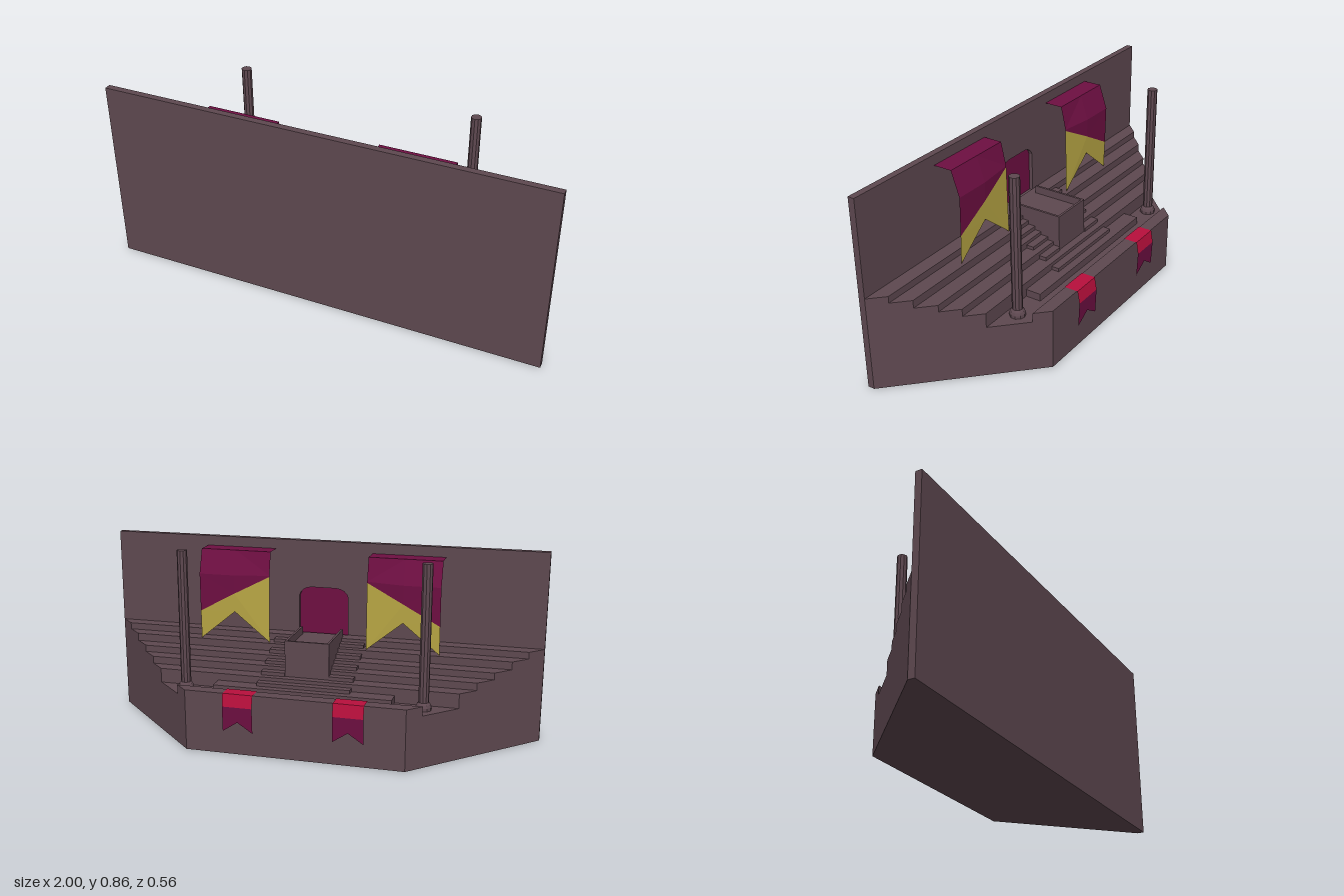
import * as THREE from 'three';

const mat = (name, color, side = THREE.FrontSide) => {
  const m = new THREE.MeshStandardMaterial({ color, side });
  m.name = name;
  return m;
};

export function createModel() {
  const model = new THREE.Group();
  model.name = 'royalStand';
  const stone = mat('stone', 0x5e4850);
  const purple = mat('purple cloth', 0x6e0f42, THREE.DoubleSide);
  const gold = mat('gold cloth', 0xb8a644, THREE.DoubleSide);
  const red = mat('red cloth', 0xb80f3c, THREE.DoubleSide);

  const add = (name, geo, material) => {
    const mesh = new THREE.Mesh(geo, material);
    mesh.name = name;
    model.add(mesh);
    return mesh;
  };
  const box = (name, x0, x1, y0, y1, z0, z1, material = stone) =>
    add(name, new THREE.BoxGeometry(x1 - x0, y1 - y0, z1 - z0)
      .translate((x0 + x1) / 2, (y0 + y1) / 2, (z0 + z1) / 2), material);

  // Tapered tier: a trapezoid slab whose ends follow the 45 degree sides
  const tier = (name, z0, z1, height) => {
    const a = 0.75 + z0, b = 0.75 + z1;
    const s = new THREE.Shape([[-a, -z0], [-b, -z1], [b, -z1], [a, -z0]]
      .map(p => new THREE.Vector2(...p)));
    const g = new THREE.ExtrudeGeometry(s, { depth: height, bevelEnabled: false });
    add(name, g.rotateX(-Math.PI / 2), stone);
  };
  const edges = [0.25, 0.187, 0.122, 0.055, -0.01, -0.075];
  const heights = [0.425, 0.395, 0.36, 0.33, 0.297];
  heights.forEach((h, i) => tier('seatingTier', edges[i + 1], edges[i], h));
  tier('walkway', -0.207, -0.075, 0.232);
  tier('parapet', -0.265, -0.207, 0.273);

  // Landing and half-height aisle steps on each side of the box
  box('landing', -0.4, 0.4, 0.23, 0.265, -0.145, -0.075);
  box('aisleStep', -0.21, 0.21, 0.26, 0.281, -0.11, -0.075);
  for (let i = 0; i < 4; i++) {
    const z = edges[i + 1], y = (heights[i] + heights[i + 1]) / 2;
    for (const s of [-1, 1])
      box('aisleStep', Math.min(s * 0.1, s * 0.21), Math.max(s * 0.1, s * 0.21),
        heights[i + 1] - 0.01, y, z - 0.035, z);
  }

  // Viewing box with a low rail
  box('viewingBox', -0.1, 0.1, 0.29, 0.425, -0.04, 0.215);
  box('boxRail', -0.1, -0.09, 0.425, 0.46, -0.04, 0.215);
  box('boxRail', 0.09, 0.1, 0.425, 0.46, -0.04, 0.215);
  box('boxRail', -0.09, 0.09, 0.425, 0.46, -0.04, -0.03);

  // Wall with a recessed, curtained doorway
  const wall = new THREE.Shape([[-1, 0], [1, 0], [1, 0.855], [-1, 0.855]]
    .map(p => new THREE.Vector2(...p)));
  const door = new THREE.Path();
  door.moveTo(-0.115, 0.42);
  door.lineTo(-0.115, 0.6);
  door.quadraticCurveTo(-0.105, 0.635, -0.06, 0.64);
  door.lineTo(0.06, 0.64);
  door.quadraticCurveTo(0.105, 0.635, 0.115, 0.6);
  door.lineTo(0.115, 0.42);
  door.closePath();
  wall.holes.push(door);
  add('wall', new THREE.ExtrudeGeometry(wall, { depth: 0.022, bevelEnabled: false, curveSegments: 4 })
    .translate(0, 0, 0.25), stone);
  box('wallFace', -1, 1, 0, 0.855, 0.272, 0.28);
  box('doorCurtain', -0.12, 0.12, 0.42, 0.645, 0.267, 0.272, purple);

  // Poles with rounded feet
  const profile = [[0.034, 0.232], [0.034, 0.246], [0.03, 0.257], [0.0225, 0.266],
    [0.0225, 0.857], [0, 0.857]].map(p => new THREE.Vector2(...p));
  for (const s of [-1, 1]) {
    const g = new THREE.LatheGeometry(profile, 10).toNonIndexed();
    g.computeVertexNormals();
    add('pole', g.translate(s * 0.533, 0, -0.126), stone);
  }

  // Cloth panel: quads of [x, y, z] corners, facing away from the wall
  const cloth = (name, side, quads, material) => {
    const pos = [];
    for (const [a, b, c, d] of quads) {
      const tris = side > 0 ? [a, b, c, a, c, d] : [a, c, b, a, d, c];
      for (const p of tris) pos.push(side * p[0], p[1], p[2]);
    }
    const g = new THREE.BufferGeometry();
    g.setAttribute('position', new THREE.Float32BufferAttribute(pos, 3));
    g.computeVertexNormals();
    add(name, g, material);
  };
  for (const s of [-1, 1]) {
    const o = 0.555, m = 0.39, i = 0.225;
    // Large hanging banner: draped top, slanted gold swallowtail
    cloth('bannerCloth', s, [
      [[o, 0.81, 0.25], [i, 0.81, 0.25], [i, 0.81, 0.165], [o, 0.81, 0.165]],
      [[o, 0.81, 0.165], [m, 0.81, 0.165], [m, 0.7, 0.128], [o, 0.7, 0.128]],
      [[m, 0.81, 0.165], [i, 0.81, 0.165], [i, 0.705, 0.142], [m, 0.7, 0.128]],
      [[o, 0.7, 0.128], [m, 0.7, 0.128], [m, 0.615, 0.131], [o, 0.525, 0.132]],
      [[m, 0.7, 0.128], [i, 0.705, 0.142], [i, 0.7, 0.142], [m, 0.615, 0.131]],
    ], purple);
    cloth('bannerTail', s, [
      [[o, 0.525, 0.132], [m, 0.615, 0.131], [m, 0.53, 0.133], [o, 0.395, 0.136]],
      [[m, 0.615, 0.131], [i, 0.7, 0.142], [i, 0.395, 0.137], [m, 0.53, 0.133]],
    ], gold);

    // Small pennant folded over the parapet
    const p = 0.31, q = 0.243, r = 0.176;
    cloth('pennantTop', s, [
      [[p, 0.275, -0.206], [r, 0.275, -0.206], [r, 0.275, -0.27], [p, 0.275, -0.27]],
      [[p, 0.275, -0.27], [r, 0.275, -0.27], [r, 0.218, -0.28], [p, 0.218, -0.28]],
    ], red);
    cloth('pennantTail', s, [
      [[p, 0.218, -0.28], [q, 0.218, -0.28], [q, 0.15, -0.277], [p, 0.105, -0.275]],
      [[q, 0.218, -0.28], [r, 0.218, -0.28], [r, 0.105, -0.275], [q, 0.15, -0.277]],
    ], purple);
  }
  return model;
}
